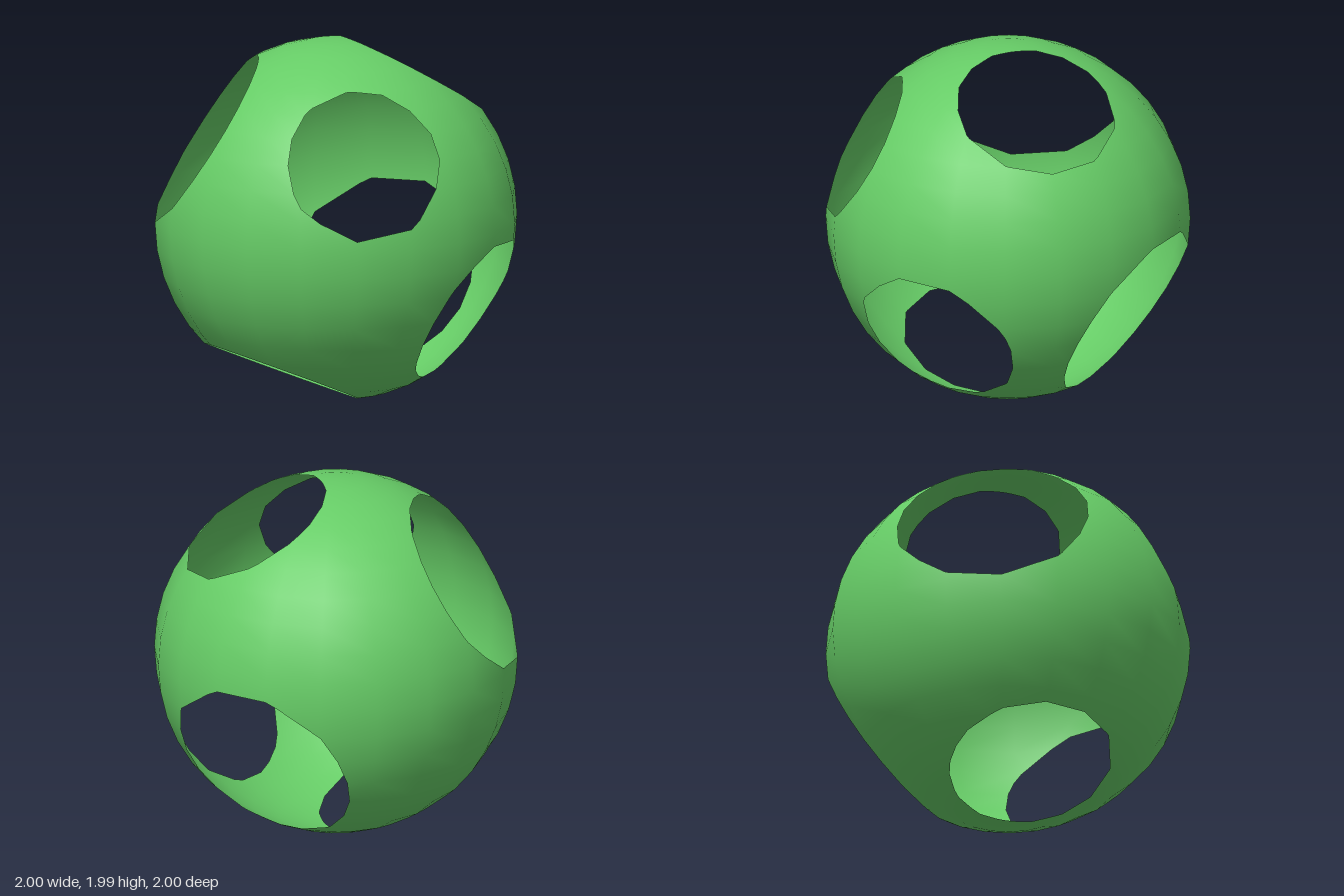
import * as THREE from 'three';

// Round openings: direction of the centre from the ball's middle, and rim radius
const holes = [
  { dir: [0.06, 0.43, 0.785], r: 0.44 },    // front
  { dir: [-0.71, 0.45, -0.06], r: 0.54 },   // upper right side
  { dir: [0.43, 0.77, -0.16], r: 0.445 },   // top left side
  { dir: [0.335, -0.412, -0.65], r: 0.54 }, // lower back
  { dir: [0.67, -0.445, 0.37], r: 0.462 },  // lower left side
  { dir: [-0.32, -0.82, 0.135], r: 0.455 }, // underside
].map(({ dir, r }) => ({
  n: new THREE.Vector3(...dir).normalize(),
  d: Math.sqrt(1 - r * r),
}));

// Keep the part of a convex polygon that lies inside the plane of one hole
function clip(poly, { n, d }) {
  const out = [];
  poly.forEach((a, i) => {
    const b = poly[(i + 1) % poly.length];
    const da = a.dot(n) - d, db = b.dot(n) - d;
    if (da <= 0) out.push(a);
    if (da * db < 0) out.push(a.clone().lerp(b, da / (da - db)));
  });
  return out;
}

// Thin sphere with every opening cut away, shaded smoothly
function cutSphere() {
  const src = new THREE.SphereGeometry(1, 20, 20).toNonIndexed().attributes.position;
  const positions = [], normals = [];
  for (let i = 0; i < src.count; i += 3) {
    let poly = [0, 1, 2].map((k) => new THREE.Vector3().fromBufferAttribute(src, i + k));
    for (const hole of holes) poly = clip(poly, hole);
    for (let k = 1; k + 1 < poly.length; k++) {
      for (const p of [poly[0], poly[k], poly[k + 1]]) {
        positions.push(p.x, p.y, p.z);
        normals.push(...p.clone().normalize().toArray());
      }
    }
  }
  const geo = new THREE.BufferGeometry();
  geo.setAttribute('position', new THREE.Float32BufferAttribute(positions, 3));
  geo.setAttribute('normal', new THREE.Float32BufferAttribute(normals, 3));
  return geo;
}

export function createModel() {
  const group = new THREE.Group();
  group.name = 'hollowBall';
  const material = new THREE.MeshStandardMaterial({ color: 0x66cc66, side: THREE.DoubleSide });
  const shell = new THREE.Mesh(cutSphere(), material);
  shell.name = 'perforatedShell';
  shell.position.y = 1;
  group.add(shell);
  return group;
}
